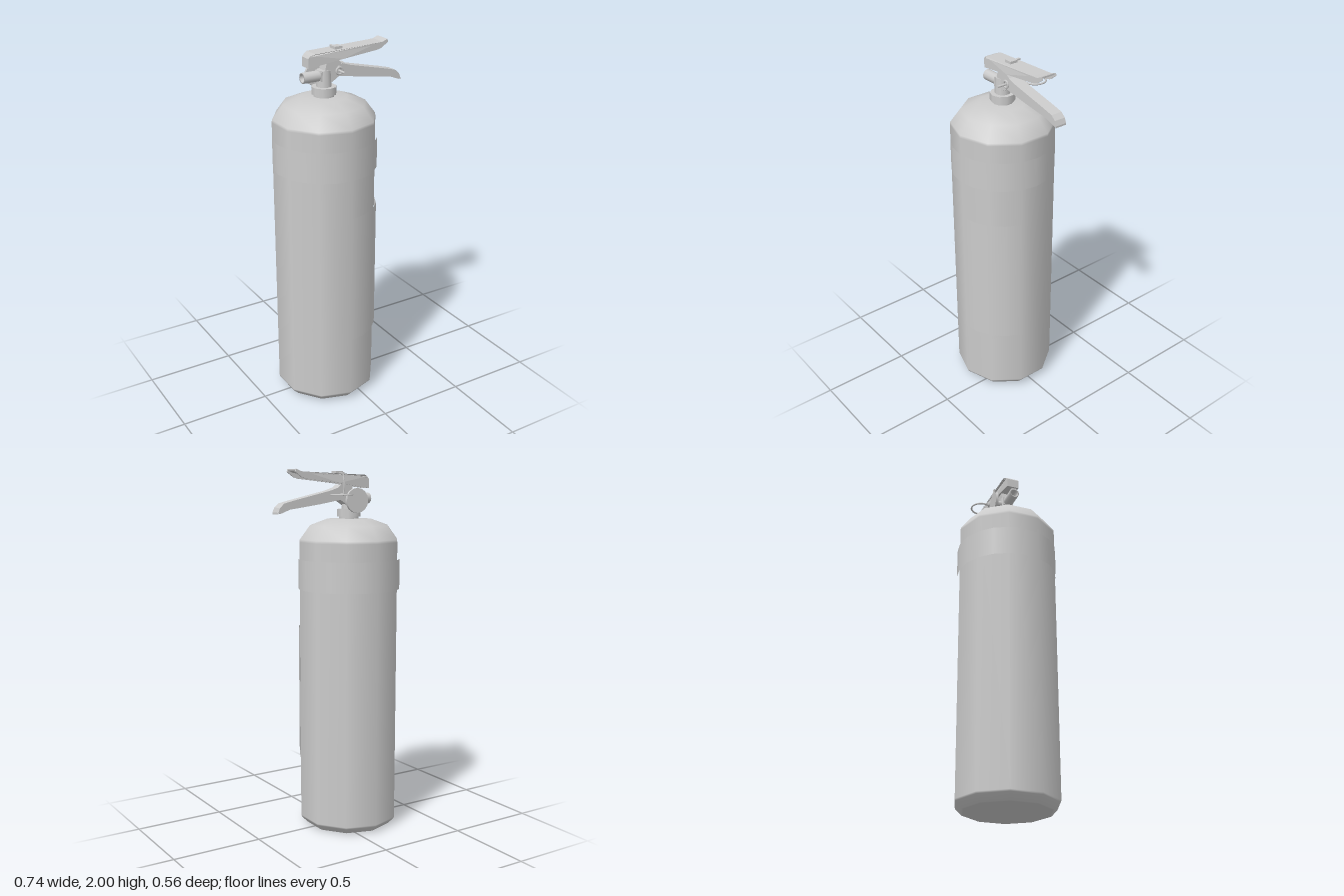
import * as THREE from 'three';

const grey = new THREE.MeshStandardMaterial({ color: 0xcccccc });
const grey2 = new THREE.MeshStandardMaterial({ color: 0xcccccc, side: THREE.DoubleSide });
const CX = -0.091; // axis of the cylinder

export function createModel() {
  const model = new THREE.Group();

  const add = (name, geometry, x = 0, y = 0, z = 0, material = grey) => {
    const mesh = new THREE.Mesh(geometry, material);
    mesh.name = name;
    mesh.position.set(x, y, z);
    model.add(mesh);
    return mesh;
  };
  const lathe = (name, profile, sides) =>
    add(name, new THREE.LatheGeometry(profile.map(p => new THREE.Vector2(...p)), sides), CX);

  // Extrudes a side outline from z0 to z1, narrowing everything left of pinchX
  const slab = (name, outline, z0, z1, pinchX = -9) => {
    const shape = new THREE.Shape(outline.map(p => new THREE.Vector2(...p)));
    const g = new THREE.ExtrudeGeometry(shape, { depth: z1 - z0, bevelEnabled: false });
    g.translate(0, 0, z0);
    const pos = g.attributes.position;
    for (let i = 0; i < pos.count; i++) if (pos.getX(i) < pinchX) pos.setZ(i, pos.getZ(i) * 0.72);
    g.computeVertexNormals();
    return add(name, g);
  };

  // Pressed-metal lever: top strip plus two side walls, open underneath
  const lever = (name, top, bottom, half, pinchX) => {
    const t = 0.009;
    const under = top.map(([x, y]) => [x, y - t]).reverse();
    slab(name + 'Top', [...top, ...under], -half, half, pinchX);
    for (const s of [-1, 1]) {
      const a = s * half, b = s * (half - t);
      slab(name + 'Wall', [...top, ...bottom], Math.min(a, b), Math.max(a, b), pinchX);
    }
  };

  // Cylinder body
  lathe('body', [[0, 0], [0.235, 0], [0.243, 0.003], [0.277, 0.038], [0.28, 0.048], [0.28, 1.61],
    [0.278, 1.625], [0.222, 1.7], [0.125, 1.735], [0, 1.737]], 10);

  // Strap band and front label
  add('band', new THREE.CylinderGeometry(0.281, 0.281, 0.165, 20, 1, true), CX, 1.433);
  add('label', new THREE.CylinderGeometry(0.281, 0.281, 0.745, 4, 1, true, 0, Math.PI * 0.4), CX, 0.765, 0, grey2);

  // Collar and valve neck
  add('collarBase', new THREE.CylinderGeometry(0.056, 0.056, 0.03, 10), CX, 1.745);
  add('collar', new THREE.CylinderGeometry(0.067, 0.067, 0.04, 10), CX, 1.768);
  add('neck', new THREE.CylinderGeometry(0.038, 0.042, 0.09, 10), CX, 1.83);
  slab('valveBlock', [[-0.125, 1.82], [-0.06, 1.81], [-0.02, 1.835], [0.01, 1.85], [0.01, 1.895],
    [-0.02, 1.92], [-0.09, 1.92], [-0.1, 1.875], [-0.125, 1.87]], -0.03, 0.03);

  // Discharge nozzle with a hollow mouth
  const mouth = [[0, 0.06], [0.021, 0.06], [0.021, 0.105], [0.029, 0.105], [0.029, 0]].reverse();
  const nozzle = add('nozzle', new THREE.LatheGeometry(mouth.map(p => new THREE.Vector2(...p)), 12), -0.115, 1.846, 0, grey2);
  nozzle.rotation.z = Math.PI / 2;

  // Pressure gauge on the back
  const stem = add('gaugeStem', new THREE.CylinderGeometry(0.021, 0.021, 0.05, 10), CX, 1.835, -0.048);
  const gauge = add('gauge', new THREE.CylinderGeometry(0.067, 0.067, 0.016, 16), CX, 1.835, -0.077);
  stem.rotation.x = gauge.rotation.x = Math.PI / 2;
  gauge.rotation.z = 0.06;

  // Upper carrying handle and lower squeeze lever
  lever('handle',
    [[-0.2, 1.95], [-0.188, 1.964], [-0.165, 1.972], [0.21, 1.986], [0.24, 1.988], [0.27, 2]],
    [[0.275, 1.985], [0.235, 1.957], [0.21, 1.95], [0, 1.928], [-0.2, 1.9]], 0.047, -0.186);
  slab('handleEnd', [[-0.2, 1.9], [-0.19, 1.9], [-0.185, 1.955], [-0.188, 1.964], [-0.2, 1.95]], -0.046, 0.046, -0.18);
  lever('lever',
    [[-0.03, 1.885], [0, 1.903], [0.05, 1.887], [0.27, 1.838], [0.335, 1.822], [0.36, 1.8], [0.371, 1.775]],
    [[0.36, 1.768], [0.3, 1.79], [0.12, 1.815], [0.02, 1.832], [-0.03, 1.84]], 0.032);

  // Safety pin, its boss, pull ring and the catch on the handle
  const PX = -0.018, PY = 1.866;
  const pin = add('pin', new THREE.CylinderGeometry(0.006, 0.006, 0.15, 8), PX, PY, 0.015);
  pin.rotation.x = Math.PI / 2;
  add('pinBoss', new THREE.TorusGeometry(0.018, 0.006, 6, 14), PX, PY, 0.035);
  const ring = add('pullRing', new THREE.TorusGeometry(0.057, 0.005, 6, 28), 0.032, PY, -0.115);
  ring.rotation.x = Math.PI / 2;
  add('catch', new THREE.BoxGeometry(0.046, 0.014, 0.046), -0.016, 1.984, 0.002);
  add('catchTie', new THREE.BoxGeometry(0.014, 0.01, 0.034), -0.018, 1.981, -0.037);
  const tie = new THREE.CatmullRomCurve3([[-0.018, 1.98, -0.05], [-0.02, 1.93, -0.06], [PX, PY, -0.058]]
    .map(p => new THREE.Vector3(...p)));
  add('tie', new THREE.TubeGeometry(tie, 8, 0.005, 6));

  return model;
}
